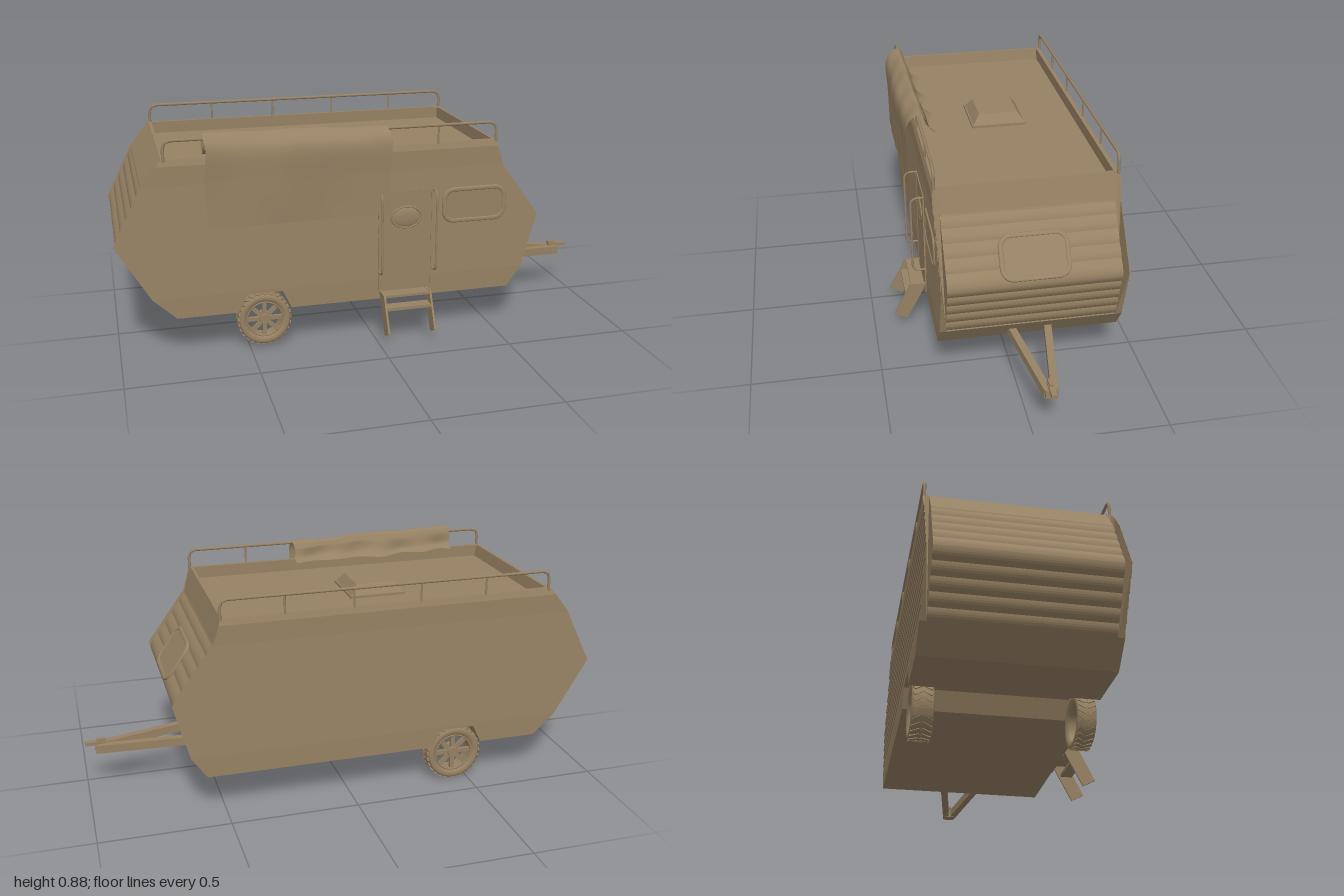
import * as THREE from 'three';

const tan = new THREE.MeshStandardMaterial({ color: 0x968163, side: THREE.DoubleSide });
const V = (x, y, z) => new THREE.Vector3(x, y, z);
const MID = -0.064, HALF = 0.35, INNER = 0.325; // body centre line, half widths in z

// Ends of the side outline, bottom to top: [y, rear x, front x]
const OUTLINE = [[0.165, -0.78, 0.57], [0.25, -0.87, 0.63], [0.47, -1, 0.69], [0.69, -0.89, 0.53], [0.79, -0.81, 0.5]];

function endsAt(y) {
  let i = 0;
  while (i < OUTLINE.length - 2 && y > OUTLINE[i + 1][0]) i++;
  const a = OUTLINE[i], b = OUTLINE[i + 1], t = (y - a[0]) / (b[0] - a[0]);
  return [a[1] + (b[1] - a[1]) * t, a[2] + (b[2] - a[2]) * t];
}

function add(parent, name, geo, x = 0, y = 0, z = 0) {
  const m = new THREE.Mesh(geo, tan);
  m.name = name;
  m.position.set(x, y, z);
  parent.add(m);
  return m;
}

const poly = pts => new THREE.Shape(pts.map(p => new THREE.Vector2(p[0], p[1])));
const extrude = (shape, depth) => new THREE.ExtrudeGeometry(shape, { depth, bevelEnabled: false, curveSegments: 10 });
const box = (w, h, d) => new THREE.BoxGeometry(w, h, d);

function roundRect(w, h, r, Type = THREE.Shape) {
  const s = new Type();
  [[1, 1, 0], [-1, 1, 1], [-1, -1, 2], [1, -1, 3]].forEach(([sx, sy, q]) =>
    s.absarc(sx * (w / 2 - r), sy * (h / 2 - r), r, q * Math.PI / 2, (q + 1) * Math.PI / 2));
  return s;
}

// Pipe through points with rounded corners
function pipe(pts, r, bend = 0.03) {
  const path = new THREE.CurvePath();
  let from = pts[0];
  for (let i = 1; i < pts.length - 1; i++) {
    const p = pts[i];
    const a = p.clone().add(pts[i - 1].clone().sub(p).setLength(bend));
    const b = p.clone().add(pts[i + 1].clone().sub(p).setLength(bend));
    path.add(new THREE.LineCurve3(from, a));
    path.add(new THREE.QuadraticBezierCurve3(a, p, b));
    from = b;
  }
  path.add(new THREE.LineCurve3(from, pts[pts.length - 1]));
  return new THREE.TubeGeometry(path, 60, r, 8);
}

// Straight square beam between two points
function beam(parent, name, a, b, w, h) {
  const m = add(parent, name, box(w, h, a.distanceTo(b)));
  m.position.copy(a).lerp(b, 0.5);
  m.lookAt(b);
}

// Shallow lapped boards on one long side, trimmed to the sloping ends
function sideCladding(s) {
  const section = [[INNER, 0.25]];
  for (let i = 0; i < 10; i++) {
    section.push([HALF, 0.25 + i * 0.044], [HALF - 0.003, 0.25 + (i + 1) * 0.044]);
  }
  section.push([HALF, 0.69], [HALF, 0.765], [HALF - 0.008, 0.79], [INNER, 0.79]);
  const geo = extrude(poly(section.map(([d, y]) => [MID + s * d, y])), 1);
  const p = geo.attributes.position;
  for (let i = 0; i < p.count; i++) {
    const y = p.getY(i), [l, r] = endsAt(y);
    p.setXYZ(i, r + (l - r) * p.getZ(i), y, p.getX(i));
  }
  geo.computeVertexNormals();
  return geo;
}

// Ribbed end walls and recessed roof in one outline
function coreShape() {
  const end = (side, sign) => {
    const pts = [];
    for (let k = 1; k < 3; k++) {
      for (let i = 0; i < 30; i++) {
        const y = OUTLINE[k][0] + 0.22 * i / 30;
        const dip = 0.002 + 0.006 * (1 - Math.sin(Math.PI * (i % 6) / 6));
        pts.push([endsAt(y)[side] - sign * dip, y]);
      }
    }
    pts.push([OUTLINE[3][side + 1] - sign * 0.003, 0.69], [OUTLINE[4][side + 1] - sign * 0.003, 0.79]);
    return pts;
  };
  return poly([...end(1, 1), [0.487, 0.79], [0.485, 0.742], [-0.785, 0.742], [-0.795, 0.79], ...end(0, -1).reverse()]);
}

function makeWindow(w, h, r) {
  const g = new THREE.Group();
  const ring = roundRect(w - 0.012, h - 0.012, r - 0.006);
  ring.holes.push(roundRect(w - 0.024, h - 0.024, r - 0.012, THREE.Path));
  const frame = new THREE.ExtrudeGeometry(ring, { depth: 0.004, bevelThickness: 0.006, bevelSize: 0.006, bevelSegments: 3, curveSegments: 10 });
  add(g, 'windowFrame', frame, 0, 0, -0.004);
  add(g, 'windowPane', extrude(roundRect(w - 0.02, h - 0.02, r - 0.01), 0.006), 0, 0, -0.004);
  return g;
}

function makeWheel(R, width) {
  const g = new THREE.Group(), h = width / 2;
  const prof = [[0.68, -0.75], [0.75, -0.95], [0.88, -1], [0.95, -0.85], [0.975, 0], [0.95, 0.85], [0.88, 1], [0.75, 0.95], [0.68, 0.75], [0.64, 0.6], [0.64, -0.6], [0.68, -0.75]];
  const tyre = new THREE.LatheGeometry(prof.map(([r, y]) => new THREE.Vector2(r * R, y * h)), 40);
  add(g, 'tyre', tyre.rotateX(Math.PI / 2));
  // Chevron tread blocks
  for (let i = 0; i < 28; i++) {
    for (const s of [-1, 1]) {
      const pivot = new THREE.Group();
      pivot.rotation.z = i / 28 * Math.PI * 2;
      const block = add(pivot, 'treadBlock', box(R * 0.05, R * 0.13, h * 0.9), R * 0.965, 0, s * h * 0.44);
      block.rotation.x = s * 0.5;
      g.add(pivot);
    }
  }
  // Spoked rim
  for (let i = 0; i < 8; i++) {
    const pivot = new THREE.Group();
    pivot.rotation.z = i / 8 * Math.PI * 2;
    add(pivot, 'spoke', box(R * 0.5, R * 0.15, 0.012), R * 0.4, 0, h * 0.45);
    g.add(pivot);
  }
  add(g, 'hub', new THREE.CylinderGeometry(R * 0.18, R * 0.24, h * 1.1, 16).rotateX(Math.PI / 2), 0, 0, h * 0.25);
  add(g, 'rimLip', new THREE.TorusGeometry(R * 0.66, R * 0.035, 8, 32), 0, 0, h * 0.75);
  return g;
}

// Cloth draped over the near roof rail
function drapeGeometry() {
  const fall = new THREE.CatmullRomCurve3([V(0, 0.79, 0.225), V(0, 0.81, 0.25), V(0, 0.86, 0.262), V(0, 0.884, 0.28),
    V(0, 0.868, 0.31), V(0, 0.83, 0.338), V(0, 0.7, 0.339), V(0, 0.53, 0.336)]);
  const geo = new THREE.PlaneGeometry(1, 1, 60, 36), p = geo.attributes.position;
  for (let i = 0; i < p.count; i++) {
    const u = p.getX(i) + 0.5, v = 0.5 - p.getY(i), q = fall.getPoint(v);
    const x = -0.655 + 0.71 * u;
    const wave = Math.sin(u * 11 + v * 4) * 0.5 + Math.sin(u * 27 - v * 9) * 0.25 + Math.sin(u * 7 + v * 13) * 0.3;
    const loose = v < 0.85 ? 1 : (1 - v) / 0.15;
    const inner = v < 0.25 ? Math.sin(u * 23) * 0.015 * (1 - v * 4) : 0;
    p.setXYZ(i, x + 0.004 * Math.sin(v * 20), q.y + wave * 0.005 * loose - 0.012 * u * loose * (v > 0.25 ? 1 : 0),
      q.z + wave * 0.005 + inner - 0.014 * u);
  }
  geo.computeVertexNormals();
  return geo;
}

export function createModel() {
  const model = new THREE.Group();
  model.name = 'caravan';

  // Body
  const body = new THREE.Group();
  body.name = 'body';
  model.add(body);
  const skirt = poly([[-0.87, 0.25], [-0.78, 0.165], [-0.545, 0.165], [-0.51, 0.237], [-0.37, 0.237], [-0.335, 0.165], [0.57, 0.165], [0.63, 0.25]]);
  add(body, 'lowerSkirt', extrude(skirt, HALF * 2), 0, 0, MID - HALF);
  add(body, 'ribbedShell', extrude(coreShape(), INNER * 2), 0, 0, MID - INNER);
  for (const s of [1, -1]) add(body, 'sideCladding', sideCladding(s));

  // Roof hatch
  const hatch = new THREE.CylinderGeometry(0.08 * Math.SQRT2, 0.108 * Math.SQRT2, 0.04, 4, 1).toNonIndexed();
  hatch.rotateY(Math.PI / 4);
  hatch.computeVertexNormals();
  add(body, 'roofHatch', hatch, -0.175, 0.77, -0.07);
  add(body, 'hatchBase', box(0.225, 0.012, 0.225), -0.175, 0.746, -0.07);

  // Roof rails with posts
  for (const z of [0.278, -0.405]) {
    add(model, 'roofRail', pipe([V(-0.8, 0.78, z), V(-0.8, 0.86, z), V(0.5, 0.86, z), V(0.5, 0.78, z)], 0.006));
    for (let i = 1; i < 5; i++) add(model, 'railPost', new THREE.CylinderGeometry(0.004, 0.004, 0.075, 8), -0.8 + i * 0.265, 0.823, z);
  }
  add(model, 'drapedCloth', drapeGeometry());

  // Door with domed oval window, side window and end window
  const door = poly([[0.022, 0.165], [0.235, 0.165], [0.235, 0.61], [0.022, 0.61]]);
  add(model, 'door', extrude(door, 0.008), 0, 0, 0.281);
  for (const x of [0.02, 0.237]) add(model, 'doorJamb', box(0.008, 0.44, 0.014), x, 0.388, 0.284);
  const oval = add(model, 'doorWindow', new THREE.SphereGeometry(1, 32, 16), 0.13, 0.5, 0.287);
  oval.scale.set(0.06, 0.042, 0.01);
  const ovalRim = add(model, 'doorWindowRim', new THREE.TorusGeometry(0.06, 0.005, 8, 40), 0.13, 0.5, 0.289);
  ovalRim.scale.y = 0.72;
  const side = makeWindow(0.27, 0.147, 0.05);
  side.name = 'sideWindow';
  side.position.set(0.415, 0.533, 0.286);
  const end = makeWindow(0.265, 0.178, 0.05);
  end.name = 'endWindow';
  end.position.set(0.633, 0.548, -0.068);
  end.rotation.set(-Math.atan2(0.16, 0.22), Math.PI / 2, 0, 'YXZ');
  model.add(side, end);

  // Grab handles beside the door
  for (const x of [0.018, 0.24]) {
    add(model, 'grabHandle', pipe([V(x, 0.28, 0.28), V(x, 0.28, 0.338), V(x, 0.607, 0.338), V(x, 0.607, 0.28)], 0.0045));
  }

  // Entry steps
  const stringer = extrude(poly([[-0.285, 0.2], [-0.35, 0.2], [-0.418, 0.063], [-0.367, 0.037], [-0.305, 0.155]]), 0.008);
  stringer.rotateY(Math.PI / 2);
  for (const x of [0.022, 0.212]) add(model, 'stepSide', stringer, x);
  add(model, 'upperTread', box(0.19, 0.01, 0.055), 0.12, 0.193, 0.32);
  add(model, 'lowerTread', box(0.19, 0.012, 0.05), 0.12, 0.147, 0.345);

  // Wheels
  for (const [s, z, R, w] of [[1, 0.237, 0.107, 0.072], [-1, -0.358, 0.115, 0.082]]) {
    const wheel = makeWheel(R, w);
    wheel.name = 'wheel';
    wheel.position.set(-0.44, 0.118, z);
    wheel.rotation.y = s > 0 ? 0 : Math.PI;
    model.add(wheel);
  }

  // Tow frame and coupler
  for (const s of [1, -1]) beam(model, 'towBeam', V(0.55, 0.198, -0.064 + s * 0.077), V(0.95, 0.176, -0.064 + s * 0.012), 0.028, 0.034);
  add(model, 'towNose', box(0.05, 0.034, 0.044), 0.935, 0.175, -0.064);
  add(model, 'coupler', box(0.08, 0.014, 0.02), 0.96, 0.197, -0.064);
  add(model, 'couplerHandle', box(0.035, 0.012, 0.016), 0.935, 0.208, -0.064);
  return model;
}
